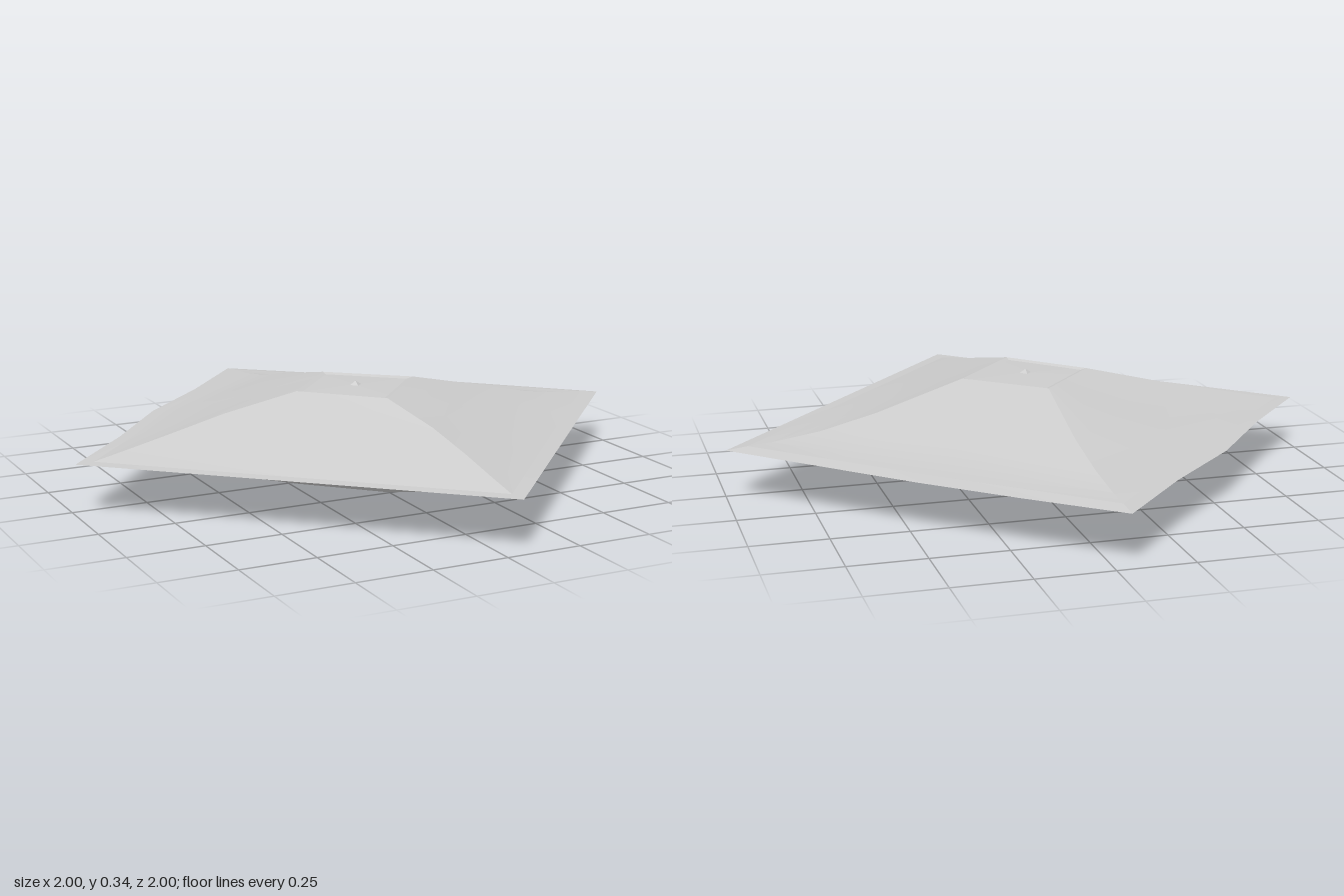
import * as THREE from 'three';
import { toCreasedNormals } from 'three/addons/utils/BufferGeometryUtils.js';

const MID = 0.17;

// Rings from the centre out. Corners run front, right, back, left as [x, height, z];
// wave lists push the quarter points of the right-back and back-left sides outward.
const RINGS = [
  { c: [[-0.03, 0.157, 0.08], [-0.01, 0.157, 0.06], [-0.03, 0.157, 0.04], [-0.05, 0.157, 0.06]] },
  { c: [[-0.027, 0.152, 0.26], [0.17, 0.152, 0.042], [-0.043, 0.152, -0.14], [-0.225, 0.152, 0.06]] },
  { c: [[-0.025, 0.157, 0.28], [0.195, 0.157, 0.04], [-0.045, 0.157, -0.16], [-0.245, 0.157, 0.06]] },
  { c: [[0.02, 0.105, 0.5], [0.5, 0.082, -0.03], [-0.03, 0.082, -0.5], [-0.49, 0.102, 0.03]],
    rb: [0, -0.02, 0.015], bl: [0.03, 0, 0] },
  { c: [[0.035, 0.062, 0.68], [0.69, 0.037, -0.04], [-0.035, 0.037, -0.69], [-0.68, 0.059, 0.04]],
    rb: [0, -0.01, 0], bl: [0.01, 0.02, -0.01] },
  { c: [[0.04, 0.025, 0.84], [0.85, 0.014, -0.045], [-0.04, 0.014, -0.84], [-0.84, 0.023, 0.045]],
    rb: [0, 0.005, 0], bl: [0, 0.02, 0] },
  { c: [[0.045, 0.002, 0.94], [0.93, 0.009, -0.05], [-0.042, 0.009, -0.93], [-0.94, 0.002, 0.05]],
    rb: [0.005, 0.01, 0.005], bl: [0, 0.022, 0] },
  { c: [[0.05, 0, 1], [1, 0, -0.05], [-0.045, 0, -1], [-1, 0, 0.05]],
    rb: [0.01, 0.02, 0.015], bl: [0, 0.025, 0] },
];

// Four points per side, so sixteen per ring
function ringPoints({ c, rb, bl }) {
  const points = [];
  for (let side = 0; side < 4; side++) {
    const a = new THREE.Vector3(...c[side]);
    const b = new THREE.Vector3(...c[(side + 1) % 4]);
    const out = new THREE.Vector3(b.z - a.z, 0, a.x - b.x).normalize().negate();
    const wave = [null, rb, bl, null][side] || [0, 0, 0];
    for (let k = 0; k < 4; k++) {
      const p = a.clone().lerp(b, k / 4);
      if (k > 0) p.addScaledVector(out, wave[k - 1]);
      points.push(p);
    }
  }
  return points;
}

// Joins rings first..last into one face; sign -1 gives the underside
function shell(first, last, sign, apex) {
  const pos = [], index = [], n = 16;
  const tri = (a, b, c) => index.push(...(sign > 0 ? [a, b, c] : [a, c, b]));
  for (let r = first; r <= last; r++) {
    for (const p of ringPoints(RINGS[r])) pos.push(p.x, MID + sign * p.y, p.z);
  }
  for (let r = 0; r < last - first; r++) {
    for (let i = 0; i < n; i++) {
      const a = r * n + i, b = r * n + (i + 1) % n;
      tri(a, a + n, b + n);
      tri(a, b + n, b);
    }
  }
  if (apex) {
    const top = pos.length / 3;
    pos.push(apex[0], MID + sign * apex[1], apex[2]);
    for (let i = 0; i < n; i++) tri(top, i, (i + 1) % n);
  }
  const g = new THREE.BufferGeometry();
  g.setAttribute('position', new THREE.Float32BufferAttribute(pos, 3));
  g.setIndex(index);
  return toCreasedNormals(g, 0.2);
}

export function createModel() {
  const group = new THREE.Group();
  const material = new THREE.MeshStandardMaterial({ color: 0xcccccc });
  const sheet = new THREE.MeshStandardMaterial({ color: 0xcccccc, side: THREE.DoubleSide });
  const add = (name, geometry, mat = material) => {
    const mesh = new THREE.Mesh(geometry, mat);
    mesh.name = name;
    group.add(mesh);
  };

  // Mirrored halves: flat centre panel with a small button, then sloping sides
  for (const [sign, label] of [[1, 'upper'], [-1, 'lower']]) {
    add(label + 'CentrePanel', shell(0, 2, sign, [-0.03, 0.17, 0.06]));
    add(label + 'Slopes', shell(2, 6, sign));
  }
  // Thin flat border around the seam
  add('flatBorder', shell(6, 7, 1), sheet);
  return group;
}
